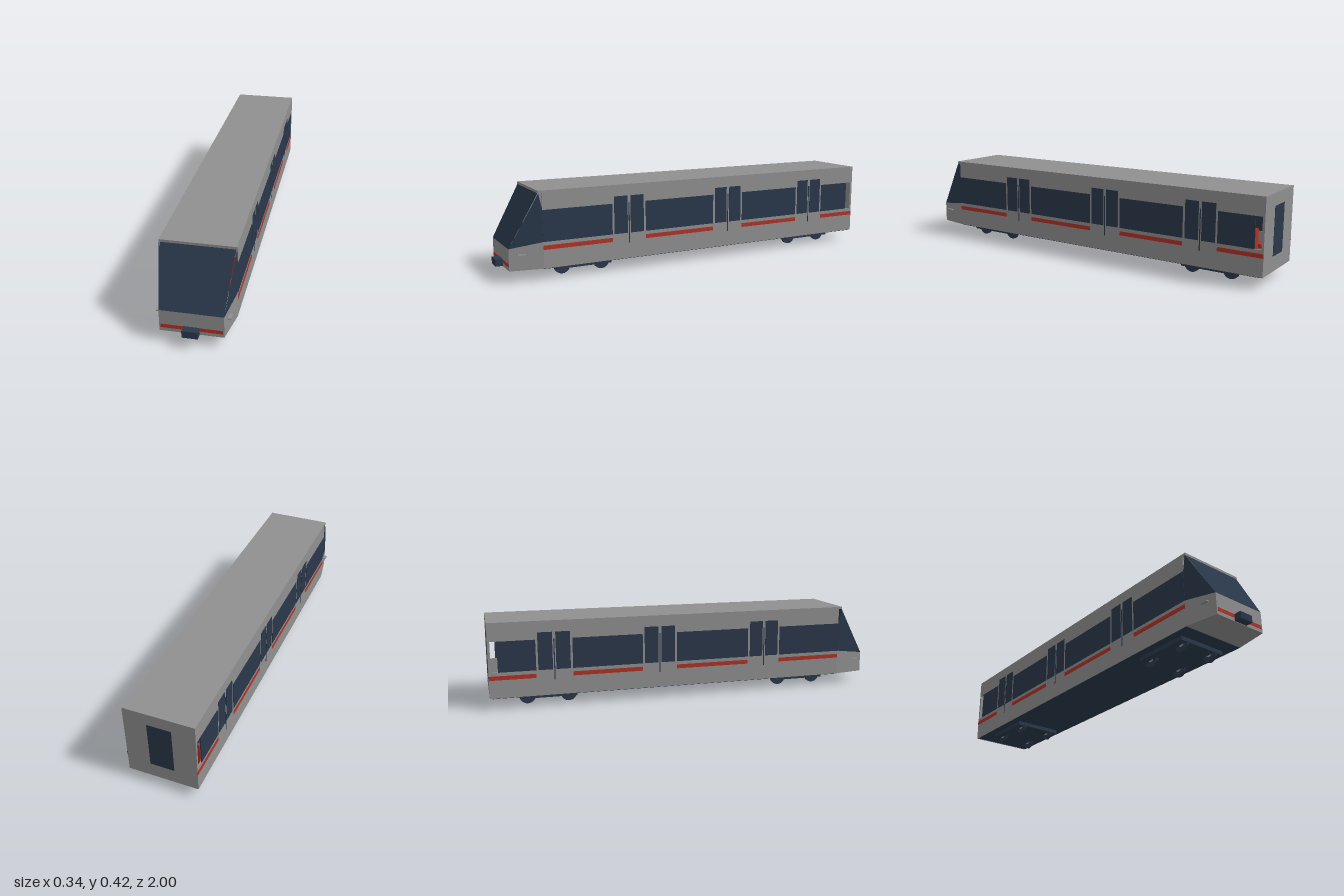
import * as THREE from 'three';

const mat = (name, color, side = THREE.FrontSide) => {
  const m = new THREE.MeshStandardMaterial({ color, side });
  m.name = name;
  return m;
};

export function createModel() {
  const train = new THREE.Group();
  train.name = 'railcar';
  const grey = mat('body grey', 0x909090, THREE.DoubleSide);
  const navy = mat('dark navy', 0x2a384b, THREE.DoubleSide);
  const red = mat('stripe red', 0xb23226);

  const add = (name, geometry, material, parent = train) => {
    const mesh = new THREE.Mesh(geometry, material);
    mesh.name = name;
    parent.add(mesh);
    return mesh;
  };
  // box given by its limits on each axis
  const box = (name, material, [x0, x1], [y0, y1], [z0, z1], parent = train) => {
    const mesh = add(name, new THREE.BoxGeometry(x1 - x0, y1 - y0, z1 - z0), material, parent);
    mesh.position.set((x0 + x1) / 2, (y0 + y1) / 2, (z0 + z1) / 2);
    return mesh;
  };
  // flat-sided surface from quads of corner points
  const quads = (name, material, list) => {
    const g = new THREE.BufferGeometry();
    const p = list.flatMap(([a, b, c, d]) => [...a, ...b, ...c, ...a, ...c, ...d]);
    g.setAttribute('position', new THREE.Float32BufferAttribute(p, 3));
    g.computeVertexNormals();
    return add(name, g, material);
  };

  const W = 0.167, N = 0.14;        // half widths of body and nose tip
  const Z0 = 0.81, Z1 = 0.965;      // nose start and tip

  // shell
  box('roof', grey, [-W, W], [0.405, 0.417], [-1, 0.828]);
  box('backWall', grey, [-W, W], [0.055, 0.405], [-1, -0.99]);
  box('floor', navy, [-0.165, 0.165], [0.053, 0.065], [-0.985, Z0]);
  box('backDoor', navy, [-0.057, 0.057], [0.127, 0.358], [-1.001, -0.996]);

  const wall = new THREE.Shape();
  wall.moveTo(-0.99, 0.055).lineTo(Z0, 0.055).lineTo(Z0, 0.405).lineTo(-0.99, 0.405).closePath();
  const opening = new THREE.Path();
  opening.moveTo(-0.989, 0.18).lineTo(-0.989, 0.328).lineTo(-0.79, 0.328).lineTo(-0.79, 0.18).closePath();
  wall.holes.push(opening);
  const wallGeometry = new THREE.ExtrudeGeometry(wall, { depth: 0.008, bevelEnabled: false });
  wallGeometry.rotateY(-Math.PI / 2);

  const windows = [[0.47, Z0], [-0.085, 0.295], [-0.605, -0.26], [-0.957, -0.78]];
  const stripes = [...windows.slice(0, 3), [-1, -0.78]];
  const doors = [0.383, -0.173, -0.693];

  for (const s of [1, -1]) {
    const side = s > 0 ? 'left' : 'right';
    const xs = s > 0 ? [W - 0.003, W + 0.0015] : [-W - 0.0015, 0.003 - W];
    add(side + 'Wall', wallGeometry, grey).position.x = s > 0 ? W : 0.008 - W;
    for (const z of windows) box(side + 'Window', navy, xs, [0.18, 0.328], z);
    for (const z of stripes) box(side + 'Stripe', red, xs, [0.143, 0.163], z);
    // double doors with a seam between the leaves
    for (const z of doors) {
      box(side + 'DoorGlass', navy, xs, [0.18, 0.362], [z + 0.008, z + 0.077]);
      box(side + 'DoorGlass', navy, xs, [0.18, 0.362], [z - 0.077, z - 0.008]);
      box(side + 'DoorSeam', navy, xs, [0.13, 0.328], [z - 0.0025, z + 0.0025]);
    }
    // cab side glass and headlight
    quads(side + 'CabGlass', navy, [[
      [s * W, 0.18, Z0], [s * N, 0.158, Z1], [s * W, 0.405, 0.826], [s * W, 0.328, Z0],
    ]]);
    box(side + 'Headlight', grey, [s * 0.154 - 0.009, s * 0.154 + 0.009], [0.125, 0.13], [0.893, 0.93]);
    // seats
    for (let i = 0; i < 9; i++) {
      const z = -0.9 + i * 0.196, seat = new THREE.Group();
      seat.name = side + 'Seat';
      train.add(seat);
      box('seatBase', red, [s * 0.11 - 0.04, s * 0.11 + 0.04], [0.12, 0.14], [z - 0.035, z + 0.035], seat);
      box('seatBack', red, [s * 0.11 - 0.04, s * 0.11 + 0.04], [0.14, 0.25], [z - 0.035, z - 0.02], seat);
    }
  }

  // tapered nose
  const ring = (w, top, z) => [[-w, 0.055, z], [w, 0.055, z], [w, top, z], [-w, top, z]];
  const a = ring(W, 0.18, Z0), b = ring(N, 0.158, Z1);
  const sides = [0, 1, 2, 3].map((i) => {
    const j = (i + 1) % 4;
    return [a[i], a[j], b[j], b[i]];
  });
  quads('nose', grey, [...sides, b]);
  quads('windscreen', navy, [[
    [-N, 0.158, Z1], [N, 0.158, Z1], [0.162, 0.405, 0.828], [-0.162, 0.405, 0.828],
  ]]);
  box('frontStripe', red, [-0.134, 0.134], [0.072, 0.089], [Z1 - 0.003, Z1 + 0.0015]);
  box('coupler', navy, [-0.035, 0.035], [0.057, 0.09], [Z1, 1]);

  // bogies with two axles each
  const tyre = new THREE.CylinderGeometry(0.04, 0.04, 0.014, 24).rotateZ(Math.PI / 2);
  const hub = new THREE.CylinderGeometry(0.016, 0.016, 0.018, 16).rotateZ(Math.PI / 2);
  for (const z of [0.6, -0.72]) {
    const bogie = new THREE.Group();
    bogie.name = 'bogie';
    bogie.position.z = z;
    train.add(bogie);
    box('bogieFrame', navy, [-0.127, 0.127], [0.033, 0.055], [-0.138, 0.138], bogie);
    for (const x of [-0.086, 0.086]) for (const dz of [-0.1, 0.1]) {
      add('wheel', tyre, navy, bogie).position.set(x, 0.04, dz);
      add('wheelHub', hub, grey, bogie).position.set(x, 0.04, dz);
    }
  }
  return train;
}
